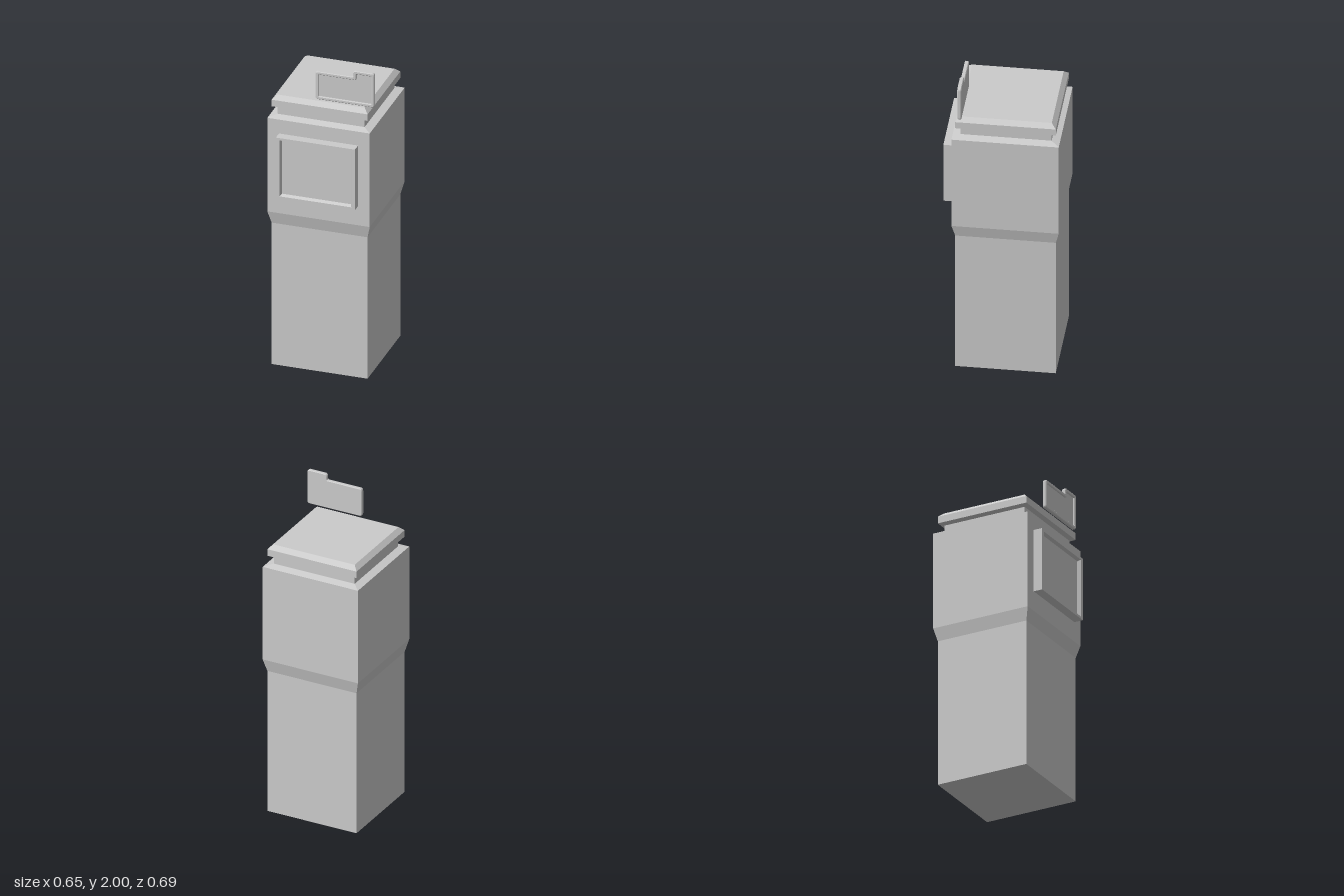
import * as THREE from 'three';

const grey = new THREE.MeshStandardMaterial({ color: 0xcccccc, flatShading: true });

// Lofts rectangular sections [halfWidth, halfDepth, level] along +y, capped at both ends
function rectLoft(sections) {
  const pos = [];
  const corner = ([w, d, y], i) => [[w, y, d], [w, y, -d], [-w, y, -d], [-w, y, d]][i % 4];
  const quad = (a, b, c, d) => pos.push(...a, ...b, ...c, ...a, ...c, ...d);
  for (let s = 0; s < sections.length - 1; s++) {
    const lo = sections[s], hi = sections[s + 1];
    for (let i = 0; i < 4; i++) quad(corner(lo, i), corner(lo, i + 1), corner(hi, i + 1), corner(hi, i));
  }
  const first = sections[0], last = sections[sections.length - 1];
  quad(corner(first, 3), corner(first, 2), corner(first, 1), corner(first, 0));
  quad(corner(last, 0), corner(last, 1), corner(last, 2), corner(last, 3));
  const geo = new THREE.BufferGeometry();
  geo.setAttribute('position', new THREE.Float32BufferAttribute(pos, 3));
  geo.computeVertexNormals();
  return geo;
}

// Traces a rounded outline through counter-clockwise corner points
function roundedOutline(points, r, Type = THREE.Shape) {
  const path = new Type();
  const pts = points.map(([x, y]) => new THREE.Vector2(x, y));
  pts.forEach((p, i) => {
    const toward = (q) => p.clone().add(q.clone().sub(p).setLength(r));
    const a = toward(pts[(i + pts.length - 1) % pts.length]);
    const b = toward(pts[(i + 1) % pts.length]);
    if (i === 0) path.moveTo(a.x, a.y);
    else path.lineTo(a.x, a.y);
    path.quadraticCurveTo(p.x, p.y, b.x, b.y);
  });
  path.closePath();
  return path;
}

// Folder silhouette with a raised tab at +x, shrunk by an inset
const folderPoints = (i) => [
  [-0.042 + i, 1.778 + i], [0.323 - i, 1.778 + i], [0.323 - i, 2 - i],
  [0.192 + i, 2 - i], [0.192 + i, 1.96 - i], [-0.042 + i, 1.96 - i],
];

export function createModel() {
  const model = new THREE.Group();
  const add = (name, geo, x, y, z, parent = model) => {
    const mesh = new THREE.Mesh(geo, grey);
    mesh.name = name;
    mesh.position.set(x, y, z);
    parent.add(mesh);
    return mesh;
  };

  // Pedestal: base column, flared upper housing, neck and chamfered cap
  const profile = [
    [0.298, 0], [0.298, 0.93], [0.318, 1.01], [0.318, 1.625], [0.27, 1.637],
    [0.27, 1.685], [0.298, 1.695], [0.298, 1.738], [0.271, 1.764],
  ];
  add('pedestal', rectLoft(profile.map(([h, y]) => [h, h, y])), -0.01, 0, -0.03);

  // Screen box with a sloped, recessed display
  const screen = rectLoft([
    [0.2455, 0.199, 0.27], [0.2455, 0.199, 0.345],
    [0.223, 0.184, 0.345], [0.213, 0.174, 0.325],
  ]).rotateX(Math.PI / 2);
  add('screen', screen, -0.01, 1.335, 0);

  // Floating folder sign: back plate and raised rim
  const sign = new THREE.Group();
  sign.name = 'folderSign';
  model.add(sign);
  const plate = roundedOutline(folderPoints(0.006), 0.01);
  add('signPlate', new THREE.ExtrudeGeometry(plate, { depth: 0.014, bevelEnabled: false, curveSegments: 4 }), 0, 0, 0.228, sign);
  const rim = roundedOutline(folderPoints(0.004), 0.012);
  rim.holes.push(roundedOutline(folderPoints(0.016), 0.008, THREE.Path));
  add('signRim', new THREE.ExtrudeGeometry(rim, {
    depth: 0.016, bevelThickness: 0.004, bevelSize: 0.004, bevelSegments: 1, curveSegments: 4,
  }), 0, 0, 0.232, sign);

  return model;
}
